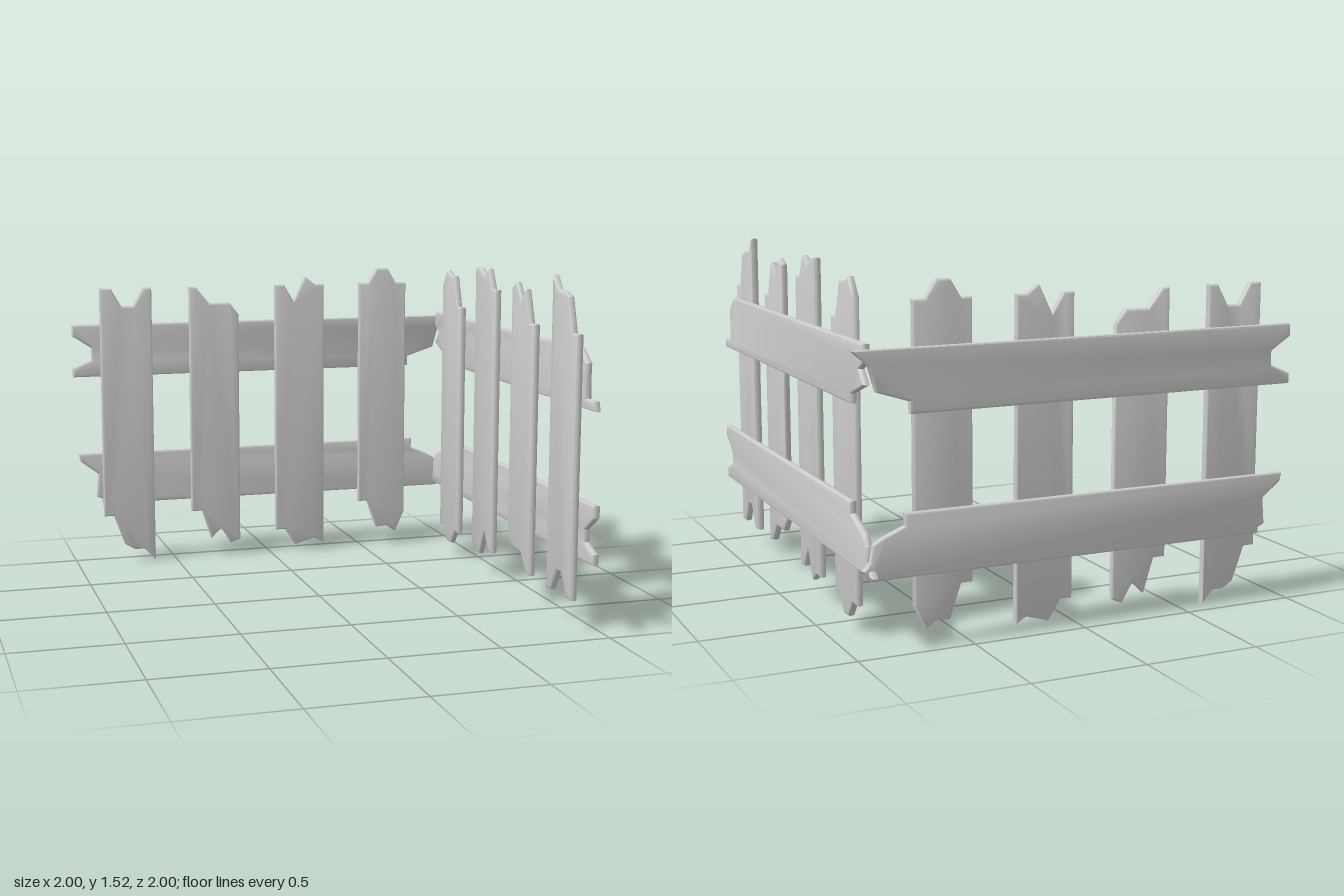
import * as THREE from 'three';
import { toCreasedNormals } from 'three/addons/utils/BufferGeometryUtils.js';

const THICK = 0.032;
const BEVEL = 0.01;
const material = new THREE.MeshStandardMaterial({ color: 0xcccccc });

// A plank with splintered ends: outline in (along, up), softly rounded edges
function plank(name, outline, z) {
  const shape = new THREE.Shape(outline.map(([x, y]) => new THREE.Vector2(x, y)));
  const extruded = new THREE.ExtrudeGeometry(shape, {
    depth: THICK - 2 * BEVEL,
    bevelEnabled: true,
    bevelThickness: BEVEL,
    bevelSize: BEVEL,
    bevelOffset: -BEVEL,
    bevelSegments: 2,
  });
  const mesh = new THREE.Mesh(toCreasedNormals(extruded, 0.8), material);
  mesh.name = name;
  mesh.position.z = z + BEVEL;
  return mesh;
}

// A fence panel: upright pickets on one face, two rails on the other
function panel(name, pickets, rails, picketZ, railZ) {
  const group = new THREE.Group();
  group.name = name;
  pickets.forEach((o, i) => group.add(plank('picket' + (i + 1), o, picketZ)));
  group.add(plank('upperRail', rails[0], railZ), plank('lowerRail', rails[1], railZ));
  return group;
}

// Back panel outlines: (x, y)
const backPickets = [
  [[-0.865, 1.39], [-0.81, 1.39], [-0.757, 1.3], [-0.7, 1.3], [-0.65, 1.39], [-0.605, 1.39],
    [-0.605, 0], [-0.66, 0.06], [-0.71, 0.06], [-0.76, 0.09], [-0.815, 0.24], [-0.865, 0.24]],
  [[-0.415, 1.39], [-0.377, 1.385], [-0.313, 1.305], [-0.206, 1.305], [-0.16, 1.245],
    [-0.16, 0.08], [-0.21, 0.06], [-0.26, 0.145], [-0.313, 0.09], [-0.36, 0.24], [-0.415, 0.24]],
  [[0.03, 1.39], [0.08, 1.39], [0.13, 1.305], [0.19, 1.43], [0.245, 1.39], [0.29, 1.39],
    [0.29, 0.03], [0.24, 0.06], [0.136, 0.03], [0.083, 0.115], [0.03, 0.115]],
  [[0.48, 1.39], [0.527, 1.39], [0.575, 1.465], [0.635, 1.465], [0.68, 1.39], [0.735, 1.39],
    [0.735, 0.17], [0.687, 0.065], [0.64, 0.1], [0.58, 0.095], [0.53, 0.24], [0.48, 0.24]],
];
const backRails = [
  [[-1, 1.21], [-1, 1.155], [-0.907, 1.095], [-0.907, 1.035], [-1, 0.995], [-1, 0.95],
    [0.76, 0.95], [0.76, 1.0], [0.9, 1.045], [0.93, 1.15], [1, 1.21]],
  [[-0.98, 0.56], [-0.97, 0.52], [-0.885, 0.455], [-0.895, 0.34], [-0.865, 0.325], [-0.865, 0.3],
    [0.93, 0.3], [0.96, 0.345], [0.93, 0.38], [0.92, 0.445], [0.87, 0.475], [0.785, 0.51], [0.785, 0.56]],
];

// Side panel outlines: (-z, y)
const sidePickets = [
  [[-0.865, 1.29], [-0.81, 1.29], [-0.765, 1.44], [-0.715, 1.46], [-0.655, 1.465], [-0.605, 1.525],
    [-0.605, 0.135], [-0.655, 0.135], [-0.71, 0.235], [-0.757, 0.235], [-0.806, 0.135], [-0.865, 0.135]],
  [[-0.42, 1.29], [-0.367, 1.29], [-0.313, 1.44], [-0.265, 1.385], [-0.206, 1.465], [-0.16, 1.44],
    [-0.16, 0.285], [-0.206, 0.225], [-0.313, 0.225], [-0.367, 0.145], [-0.42, 0.135]],
  [[0.03, 1.41], [0.08, 1.41], [0.13, 1.505], [0.185, 1.47], [0.24, 1.505], [0.29, 1.505],
    [0.29, 0.135], [0.24, 0.135], [0.19, 0.1], [0.13, 0.23], [0.083, 0.135], [0.03, 0.135]],
  [[0.48, 1.29], [0.53, 1.29], [0.58, 1.44], [0.635, 1.44], [0.685, 1.465], [0.74, 1.385],
    [0.74, 0.135], [0.688, 0.135], [0.635, 0.065], [0.58, 0.065], [0.53, 0.135], [0.48, 0.135]],
];
const sideRails = [
  [[-0.815, 1.23], [-0.89, 1.17], [-0.885, 1.09], [-0.89, 1.02], [-0.97, 1.02], [-0.98, 0.975],
    [0.785, 0.975], [0.785, 1.015], [0.935, 1.07], [0.88, 1.125], [0.935, 1.16], [0.935, 1.23]],
  [[-1, 0.58], [-1, 0.525], [-0.91, 0.46], [-0.91, 0.405], [-1, 0.37], [-1, 0.32],
    [1, 0.32], [0.94, 0.37], [0.94, 0.435], [0.9, 0.48], [0.765, 0.53], [0.765, 0.58]],
];

export function createModel() {
  const fence = new THREE.Group();
  fence.name = 'cornerFence';

  fence.add(panel('backPanel', backPickets, backRails, -0.938, -0.97));

  // Turned a quarter so its rails face outward on +x
  const side = panel('sidePanel', sidePickets, sideRails, 0.875, 0.907);
  side.rotation.y = Math.PI / 2;
  fence.add(side);

  return fence;
}
